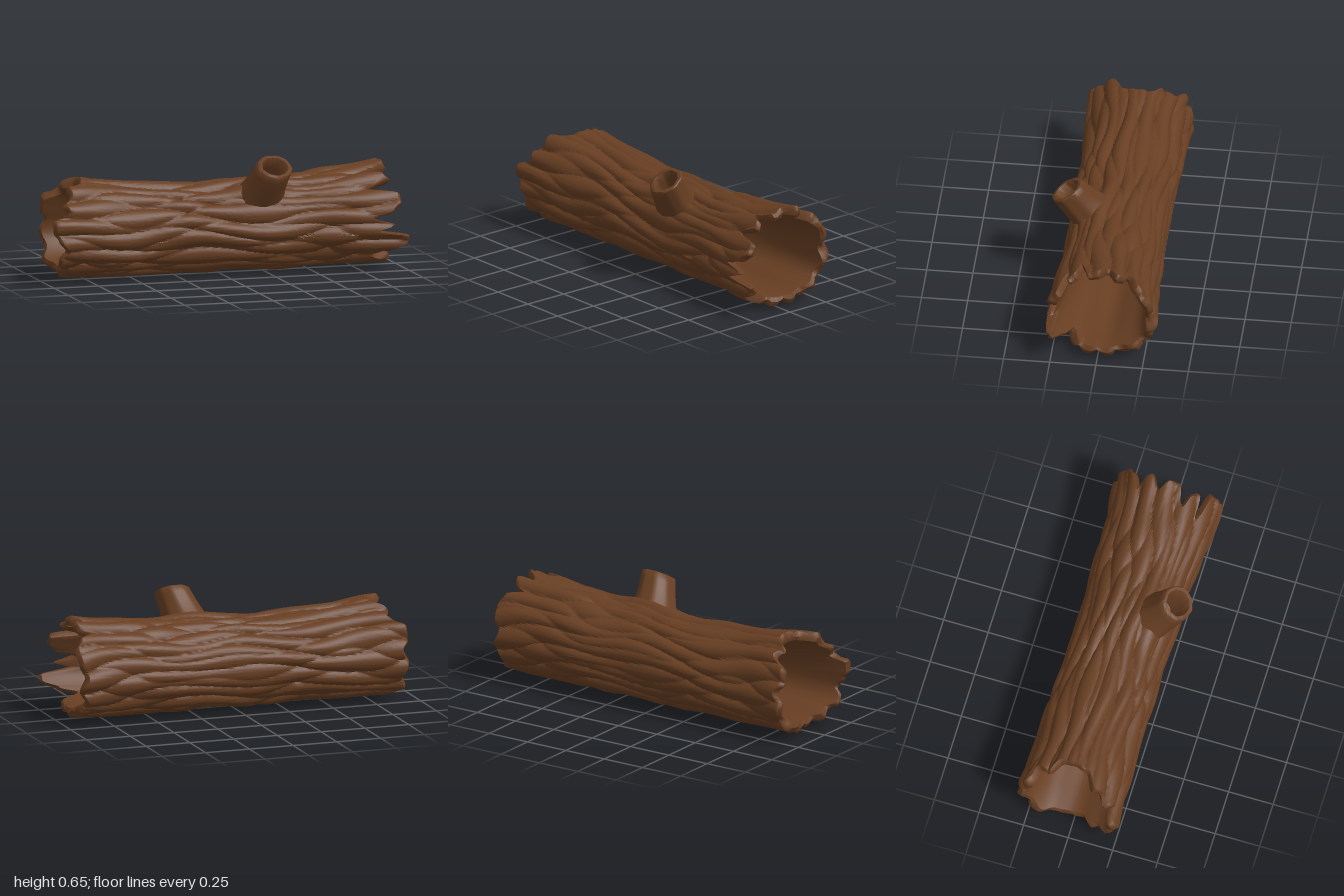
import * as THREE from 'three';
import { toCreasedNormals } from 'three/addons/utils/BufferGeometryUtils.js';

const CY = 0.262, CZ = -0.024, SIDES = 240;

// Jagged ends as [angle in degrees, x]; 0 is front, 90 top, 180 back, 270 bottom
const RIGHT_END = [[0, 0.92], [8, 0.81], [15, 0.92], [24, 0.96], [34, 0.96], [43, 0.8], [52, 0.92], [60, 0.9], [66, 0.82],
  [76, 0.93], [86, 0.93], [96, 0.87], [106, 0.94], [114, 0.92], [120, 0.86], [130, 0.94], [142, 0.97], [158, 0.96],
  [172, 0.93], [188, 0.96], [205, 0.92], [222, 0.95], [240, 0.93], [262, 0.95], [285, 0.95], [305, 0.93], [318, 0.83],
  [330, 0.92], [341, 1.0], [348, 1.0], [354, 0.84], [360, 0.92]];
const LEFT_END = [[0, -0.97], [10, -1.0], [22, -1.0], [30, -0.91], [40, -0.93], [52, -0.88], [62, -0.89], [75, -0.8],
  [90, -0.78], [105, -0.78], [118, -0.85], [130, -0.83], [145, -0.92], [160, -0.92], [170, -0.89], [185, -0.92],
  [205, -0.9], [225, -0.93], [245, -0.89], [270, -0.88], [290, -0.88], [305, -0.93], [318, -0.92], [328, -0.96],
  [338, -0.96], [347, -0.93], [360, -0.97]];

function endAt(table, angle) {
  const deg = THREE.MathUtils.radToDeg(angle);
  let k = 0;
  while (k < table.length - 2 && table[k + 1][0] < deg) k++;
  const [a0, x0] = table[k], [a1, x1] = table[k + 1];
  return THREE.MathUtils.lerp(x0, x1, THREE.MathUtils.smoothstep(deg, a0, a1));
}

// Two drifting sets of ridges cross into lens-shaped plates of bark
function bark(a, x) {
  const f1 = Math.abs(Math.sin(8 * a + 1.3 * Math.sin(3.7 * x + 0.6) + 0.7 * Math.sin(8 * x + 3 * a)));
  const f2 = Math.abs(Math.sin(7 * a - 1.4 * Math.sin(4.3 * x + 1) + 0.7 * Math.sin(9 * x - 2 * a)));
  const lump = Math.sin(9 * x + 5 * a) * Math.sin(5 * x - 4 * a);
  return 0.02 * Math.pow(f1, 0.65) + 0.014 * Math.pow(f2, 0.65) + 0.006 * lump - 0.022;
}

// Smooth trunk shape: an oval that widens towards both ends
function trunkRadius(a, x) {
  const up = Math.max(Math.sin(a), 0), down = Math.max(-Math.sin(a), 0), side = Math.abs(Math.cos(a));
  const front = Math.max(Math.cos(a), 0);
  const right = THREE.MathUtils.smoothstep(x, 0.5, 1);
  return 0.237 + 0.023 * side * side
    + x * x * (0.085 * up * up + 0.03 * side * side)
    + right * (0.022 * front * front - 0.018 * down * down);
}

function outerRadius(a, x) {
  // Swelling at the root of the branch
  const dx = (x - 0.19) / 0.16, da = (a - 1.03) / 0.42;
  return trunkRadius(a, x) + bark(a, x) + 0.035 * Math.exp(-dx * dx - da * da);
}

function innerRadius(a, x) {
  const wall = 0.07 - 0.025 * x * x;
  return trunkRadius(a, x) - wall + 0.003 * Math.sin(7 * a + 2 * x) + 0.003 * Math.sin(5 * a - 4 * x);
}

// One closed skin: along the bark, over the right rim, back through the hollow, over the left rim
function logGeometry() {
  const rows = [];
  const OUT = 110, IN = 26;
  for (let i = 0; i <= OUT; i++) rows.push([i / OUT, 'bark']);
  rows.push([1, 'rim']);
  for (let i = IN; i >= 0; i--) rows.push([i / IN, 'hollow']);
  rows.push([0, 'rim']);

  const pos = [], index = [];
  for (const [u, kind] of rows) {
    for (let j = 0; j < SIDES; j++) {
      const a = j / SIDES * Math.PI * 2;
      let x = THREE.MathUtils.lerp(endAt(LEFT_END, a), endAt(RIGHT_END, a), u);
      const ro = outerRadius(a, x), ri = innerRadius(a, x);
      let r = kind === 'bark' ? ro : ri;
      if (kind === 'rim') r = (ro + ri) / 2;
      else if (u === 0 || u === 1) {
        // Round the broken edge
        x -= Math.sign(x) * 0.01;
        r += kind === 'bark' ? -0.007 : 0.004;
      }
      pos.push(x, CY + r * Math.sin(a), CZ + r * Math.cos(a));
    }
  }
  const n = rows.length;
  for (let i = 0; i < n; i++) {
    for (let j = 0; j < SIDES; j++) {
      const i2 = (i + 1) % n, j2 = (j + 1) % SIDES;
      const p = i * SIDES + j, q = i2 * SIDES + j, s = i * SIDES + j2, t = i2 * SIDES + j2;
      index.push(p, q, s, q, t, s);
    }
  }
  const g = new THREE.BufferGeometry();
  g.setAttribute('position', new THREE.Float32BufferAttribute(pos, 3));
  g.setIndex(index);
  return toCreasedNormals(g, 0.75);
}

// Hollow stub, its rim at local y = 0, flaring sideways and upwards into the trunk
function branchGeometry() {
  const profile = [[0.098, -0.25], [0.098, -0.21], [0.098, -0.17], [0.098, -0.13], [0.098, -0.09], [0.097, -0.04],
    [0.094, -0.006], [0.088, 0], [0.072, 0], [0.066, -0.008], [0.062, -0.06], [0.055, -0.15], [0, -0.16]]
    .map(([r, y]) => new THREE.Vector2(r, y));
  const g = new THREE.LatheGeometry(profile, 48);
  const p = g.attributes.position;
  for (let i = 0; i < p.count; i++) {
    const x = p.getX(i), y = p.getY(i), z = p.getZ(i), a = Math.atan2(z, x);
    const ripple = 1 + 0.015 * Math.sin(5 * a + 6 * y) + 0.018 * Math.sin(9 * a);
    const flare = 8 * y * y;
    p.setXYZ(i, x * ripple * (1 + flare) + 0.25 * y, y, z * ripple * (z < 0 ? 1 + flare : 1));
  }
  return toCreasedNormals(g, 0.75);
}

export function createModel() {
  const group = new THREE.Group();
  group.name = 'hollowLog';
  const brown = new THREE.MeshStandardMaterial({ color: 0x673e22 });
  brown.name = 'barkBrown';

  const trunk = new THREE.Mesh(logGeometry(), brown);
  trunk.name = 'trunk';

  const branch = new THREE.Mesh(branchGeometry(), brown);
  branch.name = 'branchStub';
  branch.position.set(0.247, 0.605, 0.243);
  branch.rotation.x = 0.571;

  group.add(trunk, branch);

  // Rest the log on the ground
  trunk.position.y = 0.004 - new THREE.Box3().setFromObject(trunk, true).min.y;
  return group;
}
